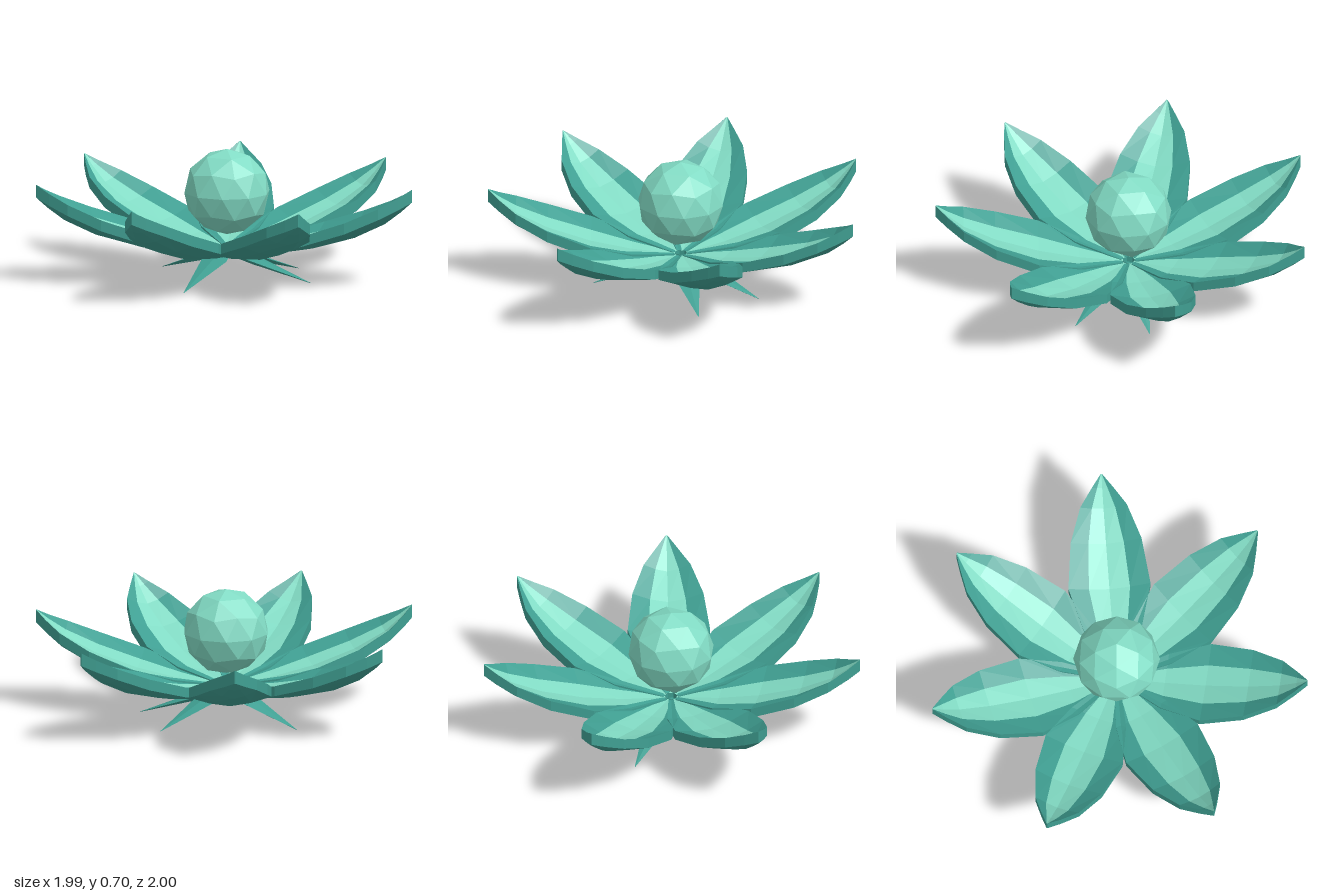
import * as THREE from 'three';

const mat = (name, color) => {
  const m = new THREE.MeshStandardMaterial({ color, flatShading: true });
  m.name = name;
  return m;
};

// Loft closed rings of equal length; isStripe(k) picks the second material for strip k
function loft(rings, isStripe = () => false) {
  const n = rings[0].length, buckets = [[], []];
  for (let k = 0; k < n; k++) {
    const out = buckets[isStripe(k) ? 1 : 0];
    for (let i = 0; i < rings.length - 1; i++) {
      const a = rings[i][k], b = rings[i][(k + 1) % n];
      const c = rings[i + 1][(k + 1) % n], d = rings[i + 1][k];
      out.push(...a, ...b, ...c, ...a, ...c, ...d);
    }
  }
  // Close both ends
  const first = rings[0], last = rings[rings.length - 1];
  for (let k = 1; k < n - 1; k++) {
    buckets[0].push(...first[0], ...first[k + 1], ...first[k]);
    buckets[0].push(...last[0], ...last[k], ...last[k + 1]);
  }
  const g = new THREE.BufferGeometry();
  g.setAttribute('position', new THREE.Float32BufferAttribute(buckets.flat(), 3));
  g.addGroup(0, buckets[0].length / 3, 0);
  g.addGroup(buckets[0].length / 3, buckets[1].length / 3, 1);
  g.computeVertexNormals();
  return g;
}

// Petal along +x: stations are [radius, half width, underside height, rim lift, thickness]
function petalGeometry() {
  const stations = [
    [0.03, 0.03, 0.145, 0.005, 0.03],
    [0.12, 0.08, 0.145, 0.015, 0.04],
    [0.26, 0.155, 0.15, 0.03, 0.05],
    [0.48, 0.22, 0.19, 0.05, 0.055],
    [0.71, 0.19, 0.26, 0.055, 0.06],
    [0.88, 0.125, 0.345, 0.045, 0.06],
    [0.97, 0.055, 0.415, 0.02, 0.065],
    [1.03, 0.003, 0.47, 0, 0.07],
  ];
  const across = [-1, -0.5, 0, 0.5, 1];
  const rings = stations.map(([r, w, y, lift, t]) => {
    const at = (u, up) => [r, y + lift * Math.abs(u) ** 1.6 + up, u * w];
    return [...across.map(u => at(u, t)), ...across.slice().reverse().map(u => at(u, 0))];
  });
  return loft(rings, k => k === 1 || k === 2);
}

// Pointed sepal along +x, sloping down to the ground
function sepalGeometry() {
  const ring = (r, w, yTop, yBottom) => [[r, yTop, -w], [r, yTop + w * 0.15, 0], [r, yTop, w], [r, yBottom, 0]];
  return loft([ring(0, 0.03, 0.15, 0.13), ring(0.14, 0.075, 0.12, 0.085), ring(0.465, 0.002, 0.002, 0)]);
}

export function createModel() {
  const model = new THREE.Group();
  const mint = mat('mint', 0x82dcc5);
  const teal = mat('teal', 0x40a093);

  const flower = new THREE.Group();
  flower.name = 'flower';
  flower.position.set(-0.03, 0, -0.02);
  model.add(flower);

  // Faceted ball at the heart of the flower, one corner pointing up
  const ballGeo = new THREE.IcosahedronGeometry(0.232, 1);
  ballGeo.rotateZ(Math.atan(2 / (1 + Math.sqrt(5))));
  const ball = new THREE.Mesh(ballGeo, mint);
  ball.name = 'centreBall';
  ball.position.y = 0.472;
  flower.add(ball);

  // Seven petals, with a sepal below every other one
  const petalGeo = petalGeometry(), sepalGeo = sepalGeometry();
  for (let i = 0; i < 7; i++) {
    const turn = THREE.MathUtils.degToRad(5) - (i * Math.PI * 2) / 7;
    const petal = new THREE.Mesh(petalGeo, [teal, mint]);
    petal.name = 'petal' + (i + 1);
    petal.rotation.y = turn;
    flower.add(petal);
    if (i === 0 || i % 2 === 1) {
      const sepal = new THREE.Mesh(sepalGeo, [teal, mint]);
      sepal.name = 'sepal' + (i + 1);
      sepal.rotation.y = turn;
      flower.add(sepal);
    }
  }
  return model;
}
